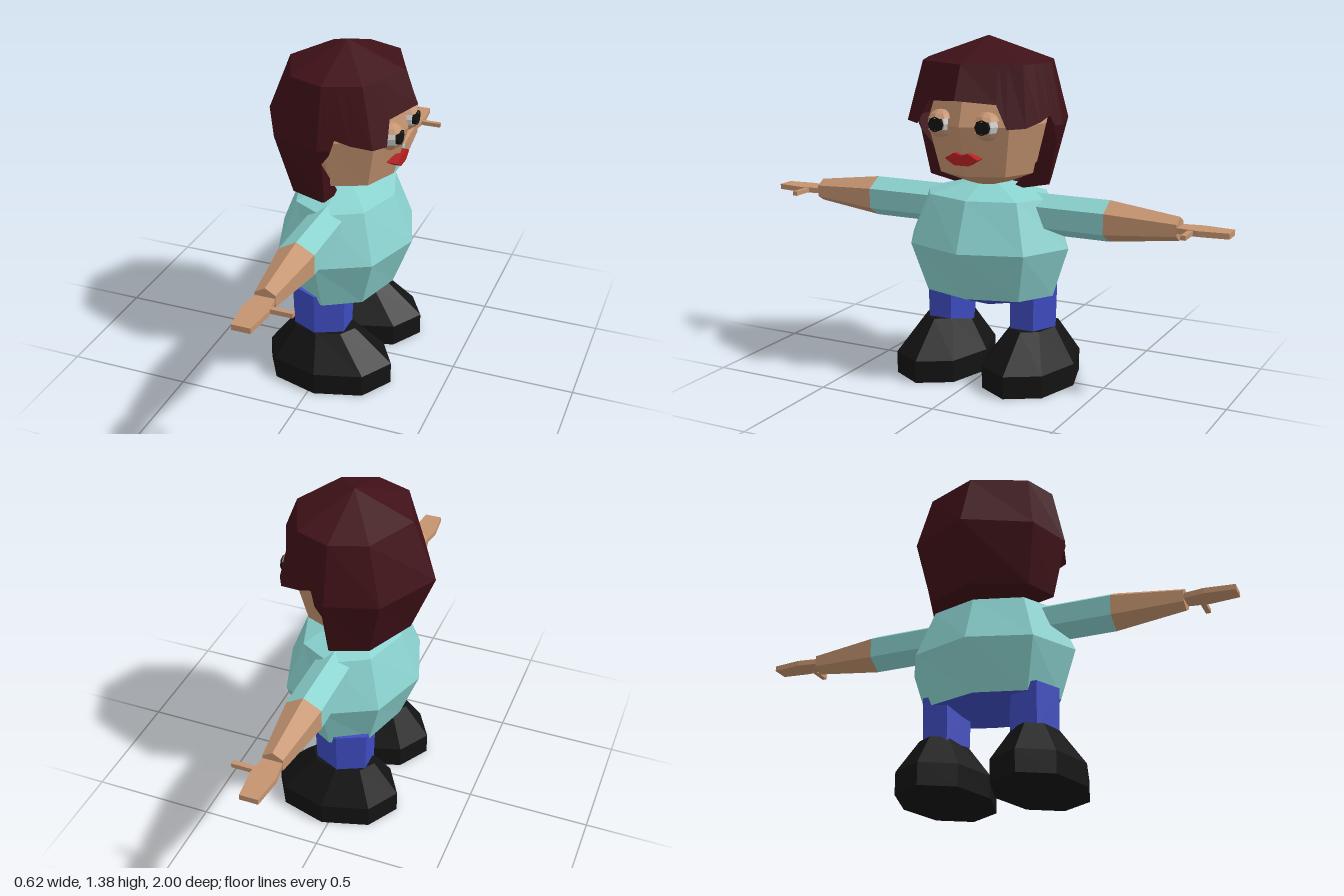
import * as THREE from 'three';

const mat = (color) => new THREE.MeshStandardMaterial({ color, flatShading: true, side: THREE.DoubleSide });

// Eight-sided outlines, starting at the face (+x) and turning towards +z
const D = Math.SQRT1_2;
const octagon = [[1, 0], [D, D], [0, 1], [-D, D], [-1, 0], [-D, -D], [0, -1], [D, -D]];
const hairOutline = octagon.map(([x, z]) => (x && z ? [Math.sign(x) * 0.6, Math.sign(z) * 0.8] : [x, z]));

// Surface through columns of points, each column running from top to bottom
function skinColumns(columns) {
  const pos = [];
  const tri = (...p) => {
    const [a, b, c] = p;
    const area = b.clone().sub(a).cross(c.clone().sub(a)).length();
    if (area > 1e-7) p.forEach((v) => pos.push(v.x, v.y, v.z));
  };
  columns.forEach((a, i) => {
    const b = columns[(i + 1) % columns.length];
    for (let r = 0; r < a.length - 1; r++) {
      tri(a[r], b[r], a[r + 1]);
      tri(b[r], b[r + 1], a[r + 1]);
    }
  });
  const g = new THREE.BufferGeometry();
  g.setAttribute('position', new THREE.Float32BufferAttribute(pos, 3));
  g.computeVertexNormals();
  return g;
}

// Rings are [y, x radius, z radius, x centre, z centre]
const loft = (rings) => skinColumns(octagon.map(([x, z]) =>
  rings.map(([y, rx, rz, cx = 0.026, cz = 0]) => new THREE.Vector3(cx + x * rx, y, cz + z * rz))));

// Hair shell: the faceted head shape trimmed along a hairline
function hairGeometry() {
  const profile = [[1.38, 0, 0], [1.285, 0.235, 0.27], [1.05, 0.33, 0.32], [0.81, 0.235, 0.265], [0.775, 0.1, 0.1]];
  // [position round the outline, lower edge height]
  const half = [[0, 1.155], [0.6, 1.14], [0.75, 1.05], [1, 1.055], [1.4, 1.07], [1.68, 1.09],
    [1.78, 1.03], [1.93, 0.99], [1.95, 0.775], [2, 0.775], [3, 0.775], [4, 0.775]];
  const line = [...half, ...half.slice(1, -1).reverse().map(([t, y]) => [8 - t, y])];
  return skinColumns(line.map(([t, cut]) => {
    const i = Math.floor(t), f = t - i;
    const a = hairOutline[i % 8], b = hairOutline[(i + 1) % 8];
    const ux = a[0] + (b[0] - a[0]) * f, uz = a[1] + (b[1] - a[1]) * f;
    return profile.map(([rowY]) => {
      const y = Math.max(rowY, cut);
      const k = Math.max(1, profile.findIndex((p) => p[0] <= y));
      const [y0, x0, z0] = profile[k - 1], [y1, x1, z1] = profile[k];
      const m = (y - y0) / (y1 - y0);
      return new THREE.Vector3(0.025 + ux * (x0 + (x1 - x0) * m), y, uz * (z0 + (z1 - z0) * m));
    });
  }));
}

// Flat outline with a thickness, centred through its depth
function slab(points, depth) {
  const shape = new THREE.Shape(points.map(([x, y]) => new THREE.Vector2(x, y)));
  return new THREE.ExtrudeGeometry(shape, { depth, bevelEnabled: false }).translate(0, 0, -depth / 2);
}

export function createModel() {
  const model = new THREE.Group();
  const skin = mat(0xc4936f), hair = mat(0x3f1117), shirt = mat(0x8ad2cf), blue = mat(0x3e4cc0);
  const black = mat(0x131313), white = mat(0xe6e6e6), red = mat(0xb51f22);
  const add = (name, geometry, material, parent = model) => {
    const mesh = new THREE.Mesh(geometry, material);
    mesh.name = name;
    parent.add(mesh);
    return mesh;
  };

  // Body
  add('shirt', loft([[0.83, 0, 0], [0.755, 0.2, 0.27], [0.56, 0.278, 0.35], [0.36, 0.2, 0.285]]), shirt);
  add('trouserSeat', loft([[0.36, 0.2, 0.285], [0.285, 0, 0]]), blue);

  // Head
  add('head', loft([[1.32, 0, 0], [1.25, 0.19, 0.19], [1.05, 0.25, 0.25], [0.85, 0.195, 0.2], [0.795, 0.06, 0.06]]), skin);
  add('hair', hairGeometry(), hair);

  // Lips
  const lips = slab([[-0.07, 0.925], [-0.03, 0.9], [0.03, 0.9], [0.07, 0.925],
    [0.03, 0.948], [0, 0.94], [-0.03, 0.948]], 0.06);
  add('lips', lips.rotateY(Math.PI / 2).translate(0.23, 0, 0), red);

  for (const s of [1, -1]) {
    const side = s > 0 ? 'near' : 'far';

    // Eye with upper and lower lids
    const eye = new THREE.Group();
    eye.name = side + 'Eye';
    eye.position.set(0.235, 1.055, s * 0.1);
    model.add(eye);
    add('eyeball', new THREE.SphereGeometry(0.045, 8, 6), white, eye);
    add('pupil', new THREE.CylinderGeometry(0.03, 0.03, 0.02, 8).rotateZ(Math.PI / 2).translate(0.038, 0, 0), black, eye);
    add('upperLid', new THREE.SphereGeometry(0.055, 8, 3, 0, Math.PI * 2, 0, 1.15), skin, eye);
    add('lowerLid', new THREE.SphereGeometry(0.055, 8, 3, 0, Math.PI * 2, Math.PI - 1.15, 1.15), skin, eye);

    // Arm
    const arm = new THREE.Group();
    arm.name = side + 'Arm';
    arm.position.set(0.025, 0.69, 0);
    model.add(arm);
    const limb = (name, z0, r0, z1, r1, material) => add(name,
      new THREE.CylinderGeometry(r1, r0, z1 - z0, 6).rotateX(s * Math.PI / 2).translate(0, 0, s * (z0 + z1) / 2),
      material, arm);
    limb('sleeve', 0.15, 0.082, 0.52, 0.082, shirt);
    limb('forearm', 0.52, 0.082, 0.8, 0.046, skin);
    const palm = slab([[-0.036, 0.79], [0.036, 0.79], [0.05, 0.88], [0.036, 1], [-0.036, 1], [-0.05, 0.88]], 0.022);
    add('hand', palm.rotateX(s * Math.PI / 2), skin, arm);
    add('thumb', new THREE.BoxGeometry(0.1, 0.018, 0.02).translate(0.082, 0, s * 0.855), skin, arm);

    // Leg and shoe
    const leg = new THREE.CylinderGeometry(0.105, 0.1, 0.19, 6).scale(1.22, 1, 1);
    add(side + 'Leg', leg.translate(-0.005, 0.3, s * 0.185), blue);
    const cz = s * 0.195;
    add(side + 'Shoe', loft([[0.225, 0, 0, 0, cz], [0.225, 0.135, 0.09, 0, cz], [0.09, 0.264, 0.185, 0.027, cz],
      [0, 0.264, 0.185, 0.027, cz], [0, 0, 0, 0.027, cz]]), black);
  }
  return model;
}
